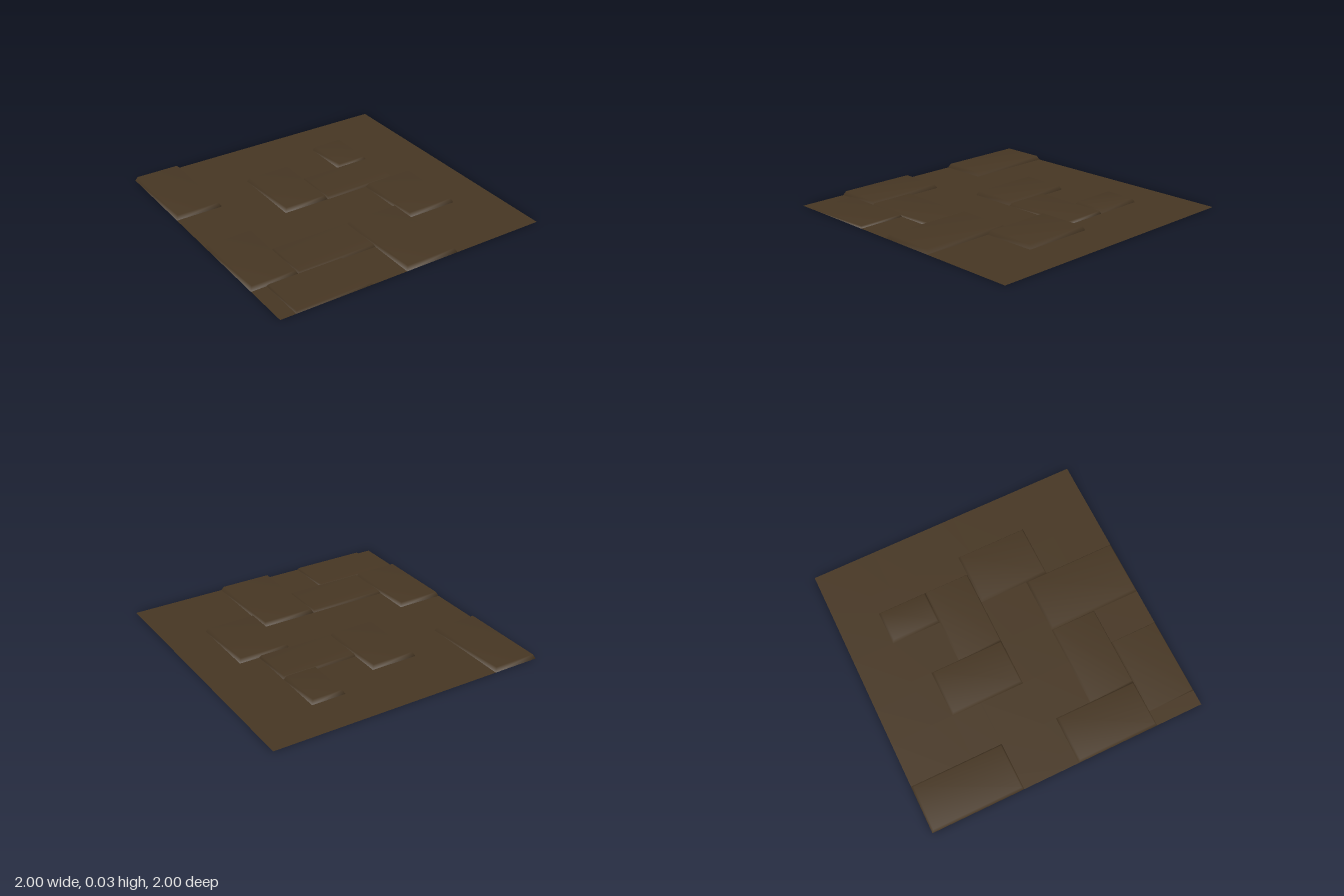
import * as THREE from 'three';
import { mergeGeometries } from 'three/addons/utils/BufferGeometryUtils.js';

// Raised paving slabs: x0, x1, z0, z1, height
const SLABS = [
  [-1, -0.66, -1, -0.335, 0.03],
  [-0.34, 0, -0.55, -0.02, 0.03],
  [0, 0.555, -0.345, -0.02, 0.02],
  [0.31, 0.555, -0.7, -0.345, 0.03],
  [0.32, 0.7, -0.02, 0.49, 0.03],
  [-1, -0.66, 0.07, 0.66, 0.03],
  [-0.66, -0.08, 0.33, 0.66, 0.02],
  [-0.89, -0.34, 0.66, 1, 0.015],
  [-0.08, 0.32, 0.33, 1, 0.03],
];

// Hollow slab: sloping walls and a top, open underneath, softly shaded
function slabGeometry([x0, x1, z0, z1, h]) {
  const inset = h * 0.5;
  const ring = (d, y) => [
    x0 + d, y, z1 - d, x1 - d, y, z1 - d,
    x1 - d, y, z0 + d, x0 + d, y, z0 + d,
  ];
  const index = [4, 5, 6, 4, 6, 7];
  for (let i = 0; i < 4; i++) {
    const j = (i + 1) % 4;
    index.push(i, j, j + 4, i, j + 4, i + 4);
  }
  const g = new THREE.BufferGeometry();
  g.setAttribute('position', new THREE.Float32BufferAttribute([...ring(0, 0), ...ring(inset, h)], 3));
  g.setIndex(index);
  g.computeVertexNormals();
  return g;
}

// Flat sheet filling every grid cell that no slab covers
function groundGeometry() {
  const lines = (a, b) =>
    [...new Set([-1, 1, ...SLABS.flatMap((s) => [s[a], s[b]])])].sort((p, q) => p - q);
  const xs = lines(0, 1);
  const zs = lines(2, 3);
  const cells = [];
  for (let i = 0; i < xs.length - 1; i++) {
    for (let j = 0; j < zs.length - 1; j++) {
      const cx = (xs[i] + xs[i + 1]) / 2;
      const cz = (zs[j] + zs[j + 1]) / 2;
      if (SLABS.some(([x0, x1, z0, z1]) => cx > x0 && cx < x1 && cz > z0 && cz < z1)) continue;
      cells.push(
        new THREE.PlaneGeometry(xs[i + 1] - xs[i], zs[j + 1] - zs[j])
          .rotateX(-Math.PI / 2)
          .translate(cx, 0, cz)
      );
    }
  }
  return mergeGeometries(cells);
}

export function createModel() {
  const stone = new THREE.MeshStandardMaterial({ color: 0x463623, side: THREE.DoubleSide });
  stone.name = 'brown stone';

  const group = new THREE.Group();
  group.name = 'stoneFloor';

  const ground = new THREE.Mesh(groundGeometry(), stone);
  ground.name = 'ground';
  group.add(ground);

  SLABS.forEach((s, i) => {
    const slab = new THREE.Mesh(slabGeometry(s), stone);
    slab.name = `slab${i + 1}`;
    group.add(slab);
  });
  return group;
}
